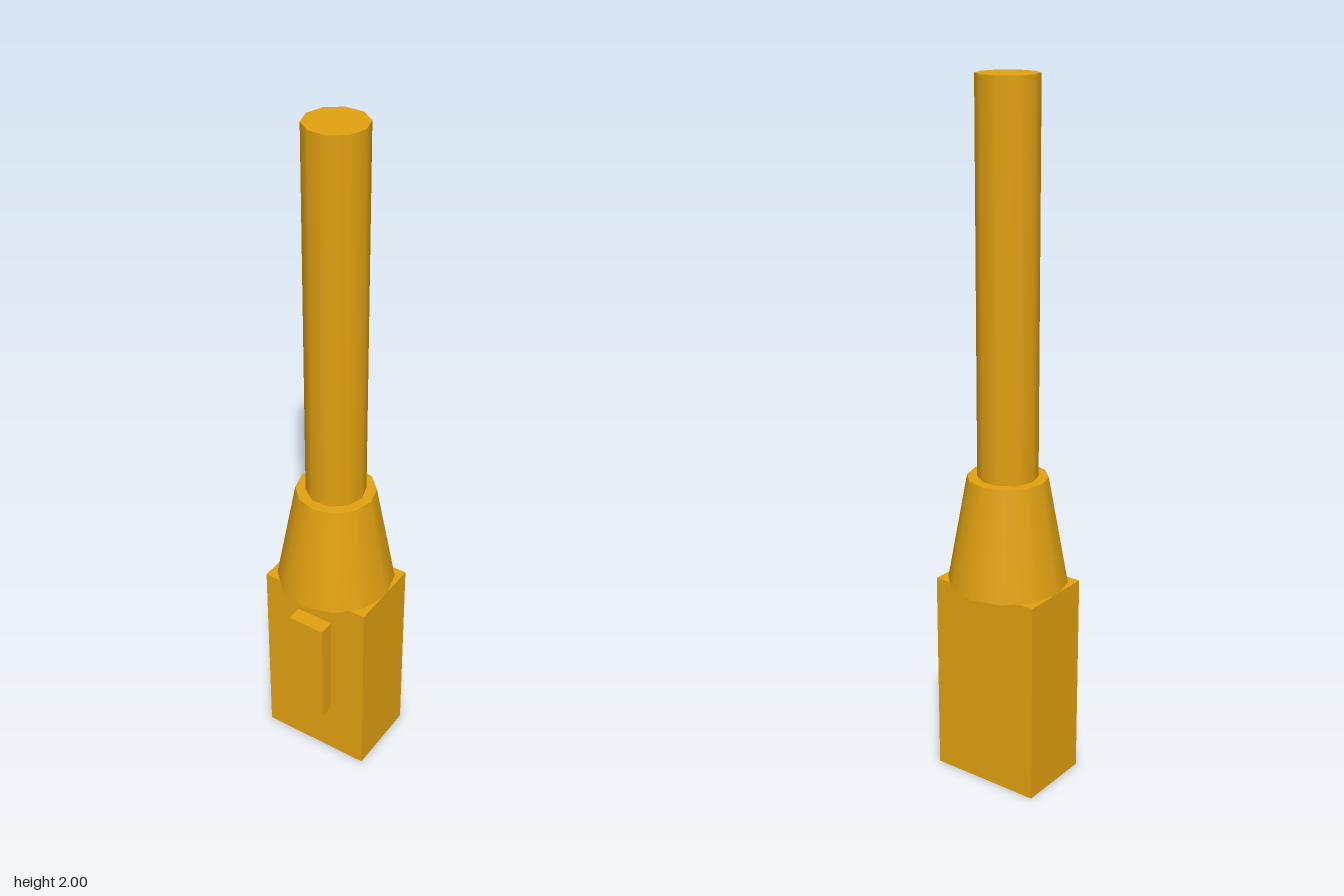
import * as THREE from 'three';

export function createModel() {
  const model = new THREE.Group();
  const amber = new THREE.MeshStandardMaterial({ color: 0xe0a010 });
  amber.name = 'amber';

  // Adds a part whose underside sits at height y
  const add = (name, geometry, height, y, z = 0) => {
    const mesh = new THREE.Mesh(geometry, amber);
    mesh.name = name;
    mesh.position.set(0, y + height / 2, z);
    model.add(mesh);
    return mesh;
  };

  // Rectangular body with a raised plate on the front
  add('body', new THREE.BoxGeometry(0.335, 0.6, 0.228), 0.6, 0);
  add('frontPlate', new THREE.BoxGeometry(0.113, 0.345, 0.052), 0.345, 0.175, 0.134);

  // Tapered twelve-sided collar
  add('collar', new THREE.CylinderGeometry(0.114, 0.171, 0.315, 12), 0.315, 0.6);

  // Long ten-sided shaft, corners pointing left and right
  const shaft = add('shaft', new THREE.CylinderGeometry(0.085, 0.085, 1.085, 10), 1.085, 0.915);
  shaft.rotation.y = Math.PI / 2;

  return model;
}
